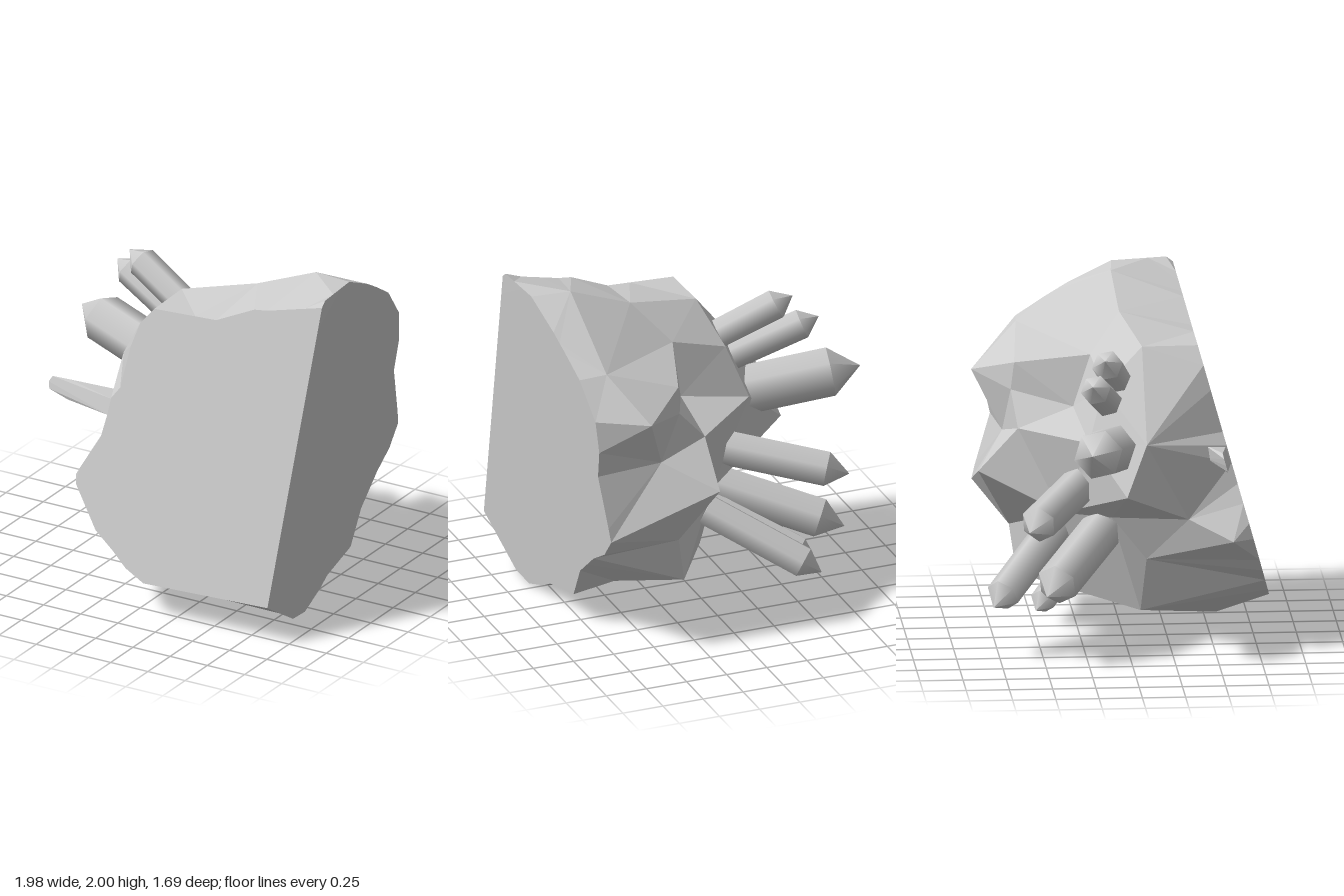
import * as THREE from 'three';
import { ConvexGeometry } from 'three/addons/geometries/ConvexGeometry.js';

const V = (x, y, z) => new THREE.Vector3(x, y, z);

// The two flat cuts through the stone
const onFront = ([x, y]) => V(x, y, 0.84 - (y - 0.24) * 0.278);
const onSide = ([z, y]) => V(0.815 + 0.0707 * y + 0.09 * z, y, z);

// Rim of the front cut (x, y), a closed loop
const frontRim = [
  [0.987, 1.97], [0.63, 1.88], [0.55, 1.87], [0.31, 1.76], [-0.1, 1.74], [-0.18, 1.64], [-0.22, 1.5],
  [-0.25, 1.26], [-0.3, 1.19], [-0.31, 1.09], [-0.33, 0.97], [-0.44, 0.76], [-0.45, 0.67], [-0.28, 0.44],
  [-0.19, 0.46], [-0.15, 0.35], [-0.05, 0.27], [0.08, 0.21], [0.908, 0.24], [0.987, 1.97],
];

// Rim of the side cut (z, y), from the top corner round the back to the bottom corner
const sideRim = [
  [0.359, 1.97], [0.32, 2], [0, 1.99], [-0.26, 1.87], [-0.4, 1.79], [-0.56, 1.69], [-0.73, 1.49], [-0.75, 1.3],
  [-0.71, 1.13], [-0.8, 0.83], [-0.82, 0.75], [-0.72, 0.63], [-0.57, 0.54], [-0.38, 0.38], [-0.27, 0.18],
  [0.03, 0.12], [0.12, 0.07], [0.31, 0], [0.47, 0.02], [0.84, 0.24],
];

// Corners of the rough facets
const rough = [
  // top and upper back
  [0.72, 1.99, -0.02], [0.34, 1.84, 0], [-0.11, 1.74, 0.1], [0.72, 1.7, -0.57], [0.55, 1.46, -0.84],
  [0.29, 1.56, -0.61], [0.15, 1.634, -0.18], [-0.2, 1.52, -0.13],
  // ledge below the step
  [0.29, 1.4, -0.63], [0.14, 1.33, -0.28], [-0.31, 1.22, -0.22], [0.12, 1.21, -0.6], [0.42, 1.13, -0.67],
  // lower back
  [0.12, 0.96, -0.83], [0.3, 0.6, -0.64], [0.25, 0.32, -0.6], [0.55, 0.22, -0.27],
  // left side and the hollow that holds the lower crystals
  [-0.5, 1.25, 0.1], [-0.59, 0.96, -0.02], [-0.52, 0.67, 0.6], [-0.4, 0.78, 0.35],
  [-0.02, 0.74, -0.36], [-0.2, 0.75, -0.08], [-0.2, 0.5, 0.12],
  // underside
  [-0.13, 0.18, 0.09], [0.2, 0.08, 0.55], [0.63, 0.145, 0.4], [0.75, 0.11, 0.35],
].map((p) => V(...p));

// Adds points along a rim so that its edges stay crisp
function subdivide(points, step = 0.14) {
  const out = [];
  for (let i = 0; i < points.length - 1; i++) {
    const n = Math.max(1, Math.ceil(points[i].distanceTo(points[i + 1]) / step));
    for (let k = 0; k < n; k++) out.push(points[i].clone().lerp(points[i + 1], k / n));
  }
  return out;
}

// Joins the corners as seen from the middle, then moves each back to its true place
function starGeometry(points, centre) {
  const dirs = points.map((p) => p.clone().sub(centre).normalize());
  const geo = new ConvexGeometry(dirs);
  const pos = geo.attributes.position;
  const v = V(0, 0, 0);
  for (let i = 0; i < pos.count; i++) {
    v.fromBufferAttribute(pos, i);
    let best = 0;
    dirs.forEach((d, j) => {
      if (d.distanceToSquared(v) < dirs[best].distanceToSquared(v)) best = j;
    });
    pos.setXYZ(i, points[best].x, points[best].y, points[best].z);
  }
  geo.computeVertexNormals();
  return geo;
}

// Six-sided crystal with a pointed end
function crystal(tip, base, r, material) {
  const g = new THREE.Group();
  g.name = 'crystal';
  const a = V(...tip);
  const b = V(...base);
  const length = a.distanceTo(b);
  const point = r * 1.2;
  const shaft = new THREE.Mesh(new THREE.CylinderGeometry(r, r, length - point, 6), material);
  shaft.name = 'crystalShaft';
  shaft.position.y = (length - point) / 2;
  const end = new THREE.Mesh(new THREE.ConeGeometry(r, point, 6, 1, true), material);
  end.name = 'crystalPoint';
  end.position.y = length - point / 2;
  g.add(shaft, end);
  g.position.copy(b);
  g.quaternion.setFromUnitVectors(V(0, 1, 0), a.sub(b).normalize());
  return g;
}

export function createModel() {
  const model = new THREE.Group();
  model.name = 'crystalRock';
  const stone = new THREE.MeshStandardMaterial({ color: 0xcccccc });
  stone.name = 'paleGrey';

  // Rock with two sliced faces
  const side = subdivide(sideRim.map(onSide)).filter((p) => p.z < onFront([0, p.y]).z - 0.01);
  const corners = [...subdivide(frontRim.map(onFront)), ...side, ...rough];
  const rock = new THREE.Mesh(starGeometry(corners, V(0.3, 1, -0.05)), stone);
  rock.name = 'rock';
  model.add(rock);

  // Crystals: tip, base, radius
  [
    [[-0.99, 1.31, -0.25], [-0.22, 1.17, -0.04], 0.145],
    [[-0.61, 1.78, -0.15], [-0.19, 1.57, -0.06], 0.09],
    [[-0.74, 1.66, -0.23], [-0.25, 1.45, -0.11], 0.088],
    [[-0.78, 0.81, -0.6], [-0.15, 0.94, -0.26], 0.11],
    [[-0.79, 0.43, -0.5], [-0.1, 0.67, -0.12], 0.125],
    [[-0.53, 0.31, -0.79], [0.03, 0.64, -0.4], 0.1],
    [[-0.58, 0.3, -0.55], [-0.08, 0.58, -0.22], 0.075],
  ].forEach(([tip, base, r]) => model.add(crystal(tip, base, r, stone)));

  // Crystal sliced flush with the front cut
  const slice = new THREE.Mesh(new ConvexGeometry([
    V(-0.74, 1.18, 0.54), V(-0.72, 1.215, 0.53), V(-0.73, 1.14, 0.55), V(-0.6, 1.22, 0.53), V(-0.6, 1.105, 0.56),
    V(-0.29, 1.18, 0.57), V(-0.31, 1.09, 0.6), V(-0.27, 1.19, 0.45), V(-0.27, 1.11, 0.46),
  ]), stone);
  slice.name = 'slicedCrystal';
  model.add(slice);

  return model;
}
